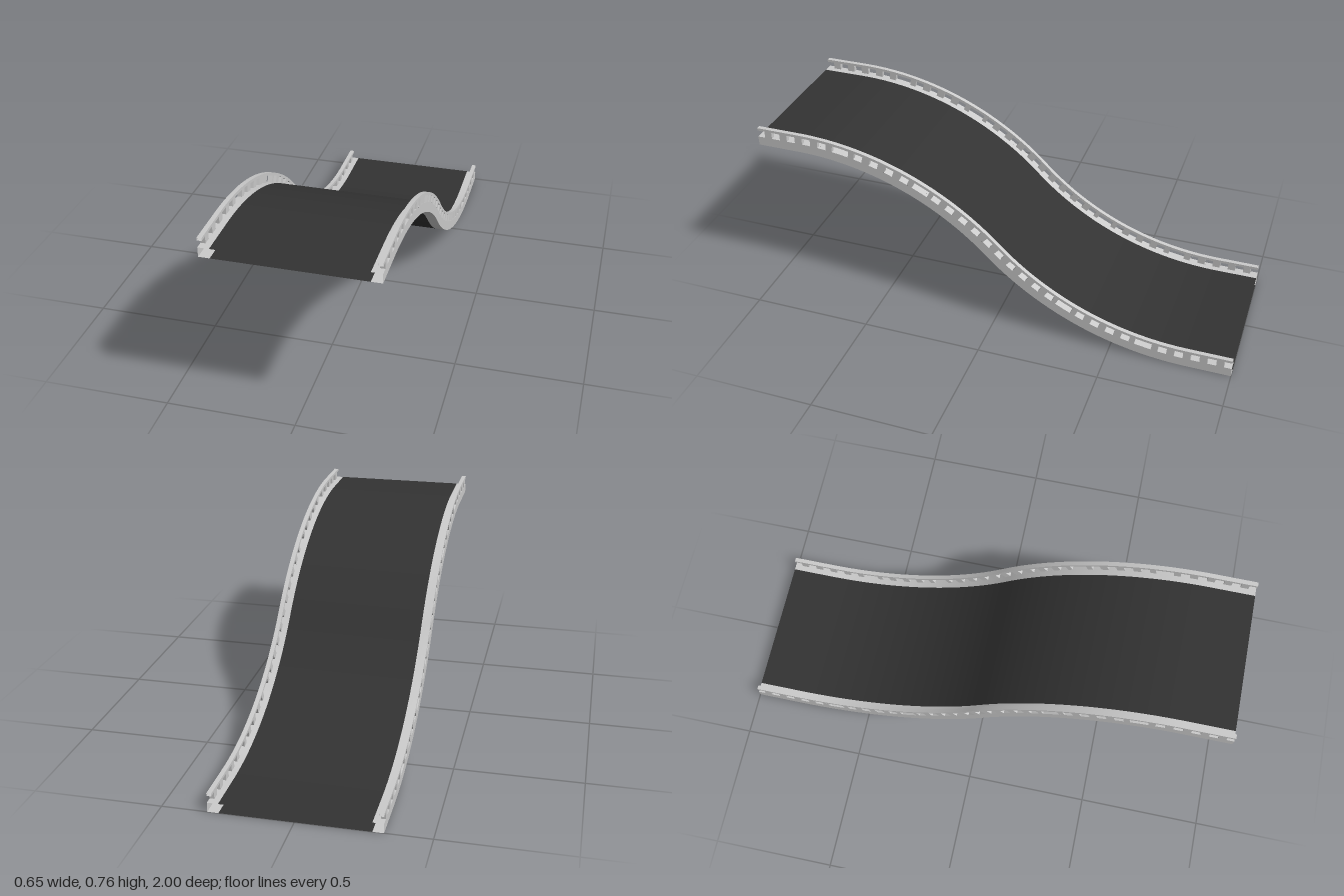
import * as THREE from 'three';
import { mergeGeometries } from 'three/addons/utils/BufferGeometryUtils.js';

// S-shaped conveyor section: two mirrored arcs with short level run-outs
const DROP = 0.68, ANGLE = Math.PI / 4;
const R = DROP / 2 / (1 - Math.cos(ANGLE));
const LEVEL = 1 - R * Math.sin(ANGLE);
const HALF = LEVEL + R * ANGLE, TOTAL = 2 * HALF;

// Heights of the section above its underside, and its x positions
const DECK = 0.038, SILL_TOP = 0.066, TOP = 0.077;
const BELT = 0.283, INNER = 0.307, OUTER = 0.325;

// Point at distance s along the deck line, offset along the normal
function pointAt(x, off, s) {
  const low = s > HALF, u = low ? TOTAL - s : s;
  const a = Math.max(0, u - LEVEL) / R;
  let z = 1 - Math.min(u, LEVEL) - R * Math.sin(a);
  let y = DROP - R * (1 - Math.cos(a));
  if (low) { z = -z; y = DROP - y; }
  const n = off - DECK;
  return [x, y + DECK + n * Math.cos(a), z - n * Math.sin(a)];
}

// Smooth strip swept along the path between section points a and b
function strip(a, b, s0 = 0, s1 = TOTAL) {
  const n = Math.max(2, Math.ceil((s1 - s0) / 0.025));
  const pos = [], index = [];
  for (let i = 0; i <= n; i++) {
    const s = s0 + (s1 - s0) * i / n;
    pos.push(...pointAt(...a, s), ...pointAt(...b, s));
    if (i < n) {
      const k = 2 * i;
      index.push(k, k + 1, k + 2, k + 1, k + 3, k + 2);
    }
  }
  return finish(pos, index);
}

// Flat wall across the path at distance s
function crossWall(x0, x1, o0, o1, s, front) {
  const pos = [[x0, o0], [x1, o0], [x1, o1], [x0, o1]].flatMap(([x, o]) => pointAt(x, o, s));
  return finish(pos, front ? [0, 1, 2, 0, 2, 3] : [0, 2, 1, 0, 3, 2]);
}

function finish(pos, index) {
  const g = new THREE.BufferGeometry();
  g.setAttribute('position', new THREE.Float32BufferAttribute(pos, 3));
  g.setIndex(index);
  g.computeVertexNormals();
  return g;
}

// Window intervals along the rail: regular openings, with a wide one at two places per arc
function windowSpans() {
  const half = [[0, 0.031]];
  const add = (c, w) => half.push([c - w / 2, c + w / 2]);
  for (let i = 0; i < 4; i++) add(0.08 + 0.0675 * i, 0.036);
  add(0.363, 0.07);
  for (let i = 0; i < 4; i++) add(0.44 + 0.0675 * i, 0.036);
  add(0.718, 0.07);
  for (let i = 0; i < 5; i++) add(0.79 + 0.067 * i, 0.036);
  return [...half, ...half.map(([a, b]) => [TOTAL - b, TOTAL - a]).reverse()];
}

export function createModel() {
  const model = new THREE.Group();
  const grey = new THREE.MeshStandardMaterial({ color: 0xcccccc, side: THREE.DoubleSide });
  const dark = new THREE.MeshStandardMaterial({ color: 0x333333, side: THREE.DoubleSide });

  const addMesh = (parent, name, parts, material) => {
    const mesh = new THREE.Mesh(mergeGeometries(parts), material);
    mesh.name = name;
    parent.add(mesh);
  };

  // Carrying and return runs of the belt
  addMesh(model, 'beltTop', [strip([-BELT, DECK], [BELT, DECK])], dark);
  addMesh(model, 'beltUnderside', [strip([BELT, 0], [-BELT, 0])], dark);

  const windows = windowSpans();
  for (const side of [1, -1]) {
    const rail = new THREE.Group();
    rail.name = side > 0 ? 'leftRail' : 'rightRail';
    model.add(rail);
    // Section strip on this side, keeping its outward facing
    const face = (x0, o0, x1, o1, s0, s1) => side > 0
      ? strip([x0, o0], [x1, o1], s0, s1)
      : strip([-x1, o1], [-x0, o0], s0, s1);

    // Open-ended lower channel, with sills only under the windows
    addMesh(rail, 'lowerChannel', [
      face(BELT, DECK, INNER, DECK),
      face(OUTER, DECK, OUTER, 0),
      face(OUTER, 0, BELT, 0),
      ...windows.map(([a, b]) => face(INNER, DECK, OUTER, DECK, a, b)),
    ], grey);

    // Top bar above the windows
    addMesh(rail, 'topBar', [
      face(INNER, TOP, OUTER, TOP),
      face(OUTER, TOP, OUTER, SILL_TOP),
      face(INNER, SILL_TOP, INNER, TOP),
      ...windows.map(([a, b]) => face(OUTER, SILL_TOP, INNER, SILL_TOP, a, b)),
    ], grey);

    // Posts between neighbouring windows
    const posts = [];
    const x0 = side > 0 ? INNER : -OUTER, x1 = side > 0 ? OUTER : -INNER;
    for (let i = 0; i + 1 < windows.length; i++) {
      const a = windows[i][1], b = windows[i + 1][0];
      posts.push(
        face(OUTER, SILL_TOP, OUTER, DECK, a, b),
        face(INNER, DECK, INNER, SILL_TOP, a, b),
        crossWall(x0, x1, DECK, SILL_TOP, a, true),
        crossWall(x0, x1, DECK, SILL_TOP, b, false),
      );
    }
    addMesh(rail, 'railPosts', posts, grey);
  }
  return model;
}
